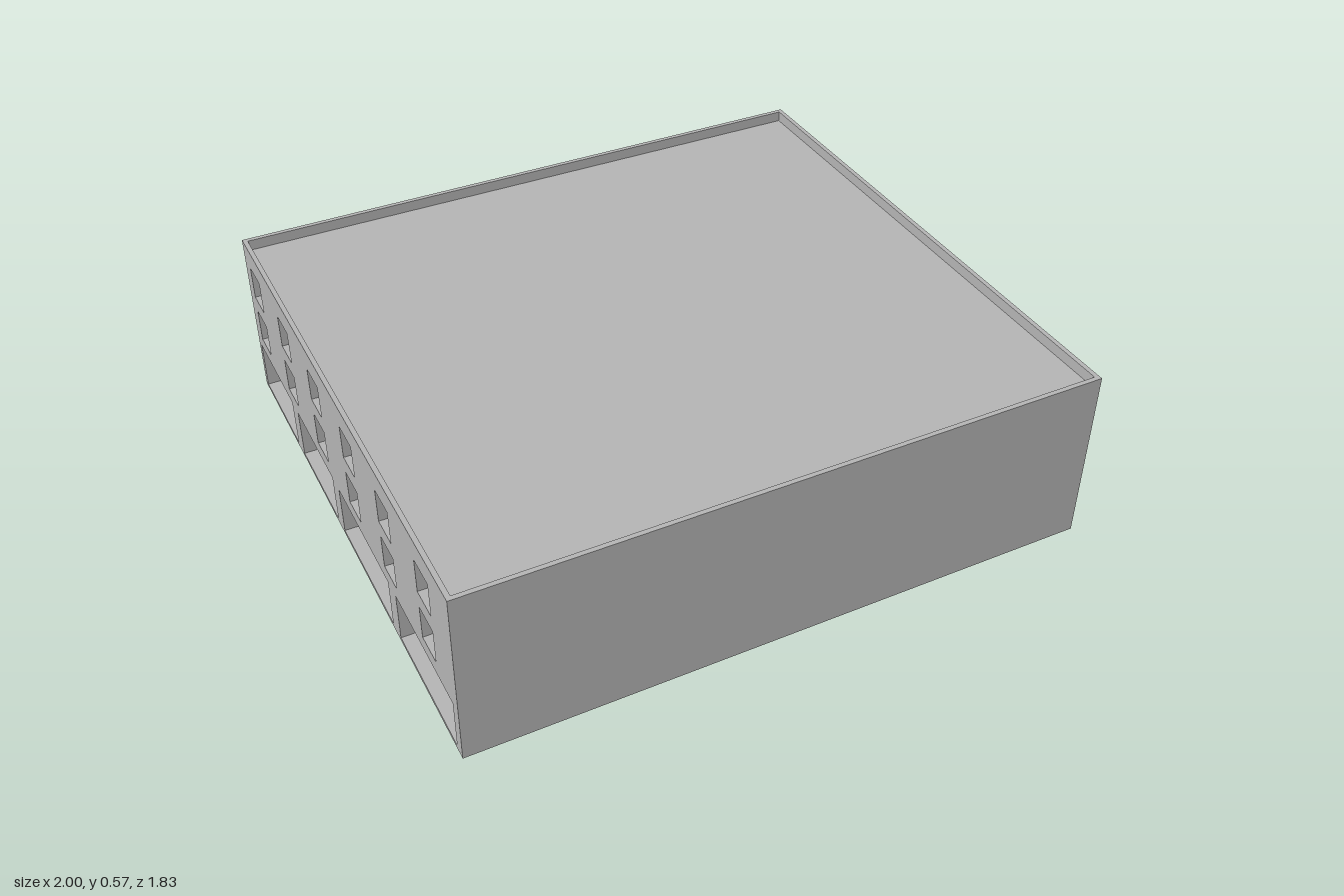
import * as THREE from 'three';

const ROOF = 0.54, TOP = 0.575, RIM = 0.015;
const HALF_Z = 0.915;
// Footprint corners as [x, z]; one corner is slightly out of square
const CORNERS = [[-1, HALF_Z], [0.995, 0.909], [1, -HALF_Z], [-1, -HALF_Z]];

function rectPath(PathType, x0, y0, x1, y1) {
  const p = new PathType();
  p.moveTo(x0, y0);
  p.lineTo(x1, y0);
  p.lineTo(x1, y1);
  p.lineTo(x0, y1);
  p.closePath();
  return p;
}

// Upright quad between two footprint corners, facing outwards
function wallGeometry([ax, az], [bx, bz]) {
  const g = new THREE.BufferGeometry();
  g.setAttribute('position', new THREE.Float32BufferAttribute(
    [ax, 0, az, bx, 0, bz, bx, ROOF, bz, ax, ROOF, az], 3));
  g.setIndex([0, 1, 2, 0, 2, 3]);
  g.computeVertexNormals();
  return g;
}

// Box without its outer (-x) face
function recessGeometry(o) {
  const g = new THREE.BoxGeometry(o.depth, o.y1 - o.y0, o.z1 - o.z0);
  const index = Array.from(g.index.array);
  index.splice(6, 6);
  g.setIndex(index);
  g.clearGroups();
  g.translate(-1 + o.depth / 2, (o.y0 + o.y1) / 2, (o.z0 + o.z1) / 2);
  return g;
}

export function createModel() {
  const group = new THREE.Group();
  const grey = new THREE.MeshStandardMaterial({ color: 0xb3b3b3, side: THREE.DoubleSide });
  grey.name = 'concrete grey';

  const add = (name, geometry) => {
    const mesh = new THREE.Mesh(geometry, grey);
    mesh.name = name;
    group.add(mesh);
    return mesh;
  };

  // Three plain walls
  ['frontWall', 'leftWall', 'backWall'].forEach((name, i) =>
    add(name, wallGeometry(CORNERS[i], CORNERS[i + 1])));

  // Openings on the right-hand wall: four loading bays, two rows of six windows
  const openings = [];
  for (const [z0, z1] of [[-0.89, -0.54], [-0.476, -0.126], [-0.063, 0.376], [0.44, 0.877]])
    openings.push({ name: 'loadingBay', z0, z1, y0: 0.012, y1: 0.175, depth: 0.2 });
  for (const y0 of [0.222, 0.39])
    for (let i = 0; i < 6; i++) {
      const z0 = -0.855 + i * 0.304;
      openings.push({ name: 'windowRecess', z0, z1: z0 + 0.1, y0, y1: y0 + 0.112, depth: 0.065 });
    }

  // Right-hand wall with the openings cut out
  const wall = rectPath(THREE.Shape, -HALF_Z, 0, HALF_Z, ROOF);
  for (const o of openings) {
    wall.holes.push(rectPath(THREE.Path, o.z0, o.y0, o.z1, o.y1));
    add(o.name, recessGeometry(o));
  }
  add('rightWall', new THREE.ShapeGeometry(wall).rotateY(-Math.PI / 2).translate(-1, 0, 0));

  // Flat roof and the low parapet around it
  const outline = CORNERS.map(([x, z]) => new THREE.Vector2(x, -z));
  const inner = CORNERS.map(([x, z]) =>
    new THREE.Vector2(x - Math.sign(x) * RIM, -(z - Math.sign(z) * RIM)));
  add('roof', new THREE.ShapeGeometry(new THREE.Shape(inner))
    .rotateX(-Math.PI / 2).translate(0, ROOF, 0));

  const ring = new THREE.Shape(outline);
  ring.holes.push(new THREE.Path(inner));
  add('parapet', new THREE.ExtrudeGeometry(ring, { depth: TOP - ROOF, bevelEnabled: false })
    .rotateX(-Math.PI / 2).translate(0, ROOF, 0));

  return group;
}
